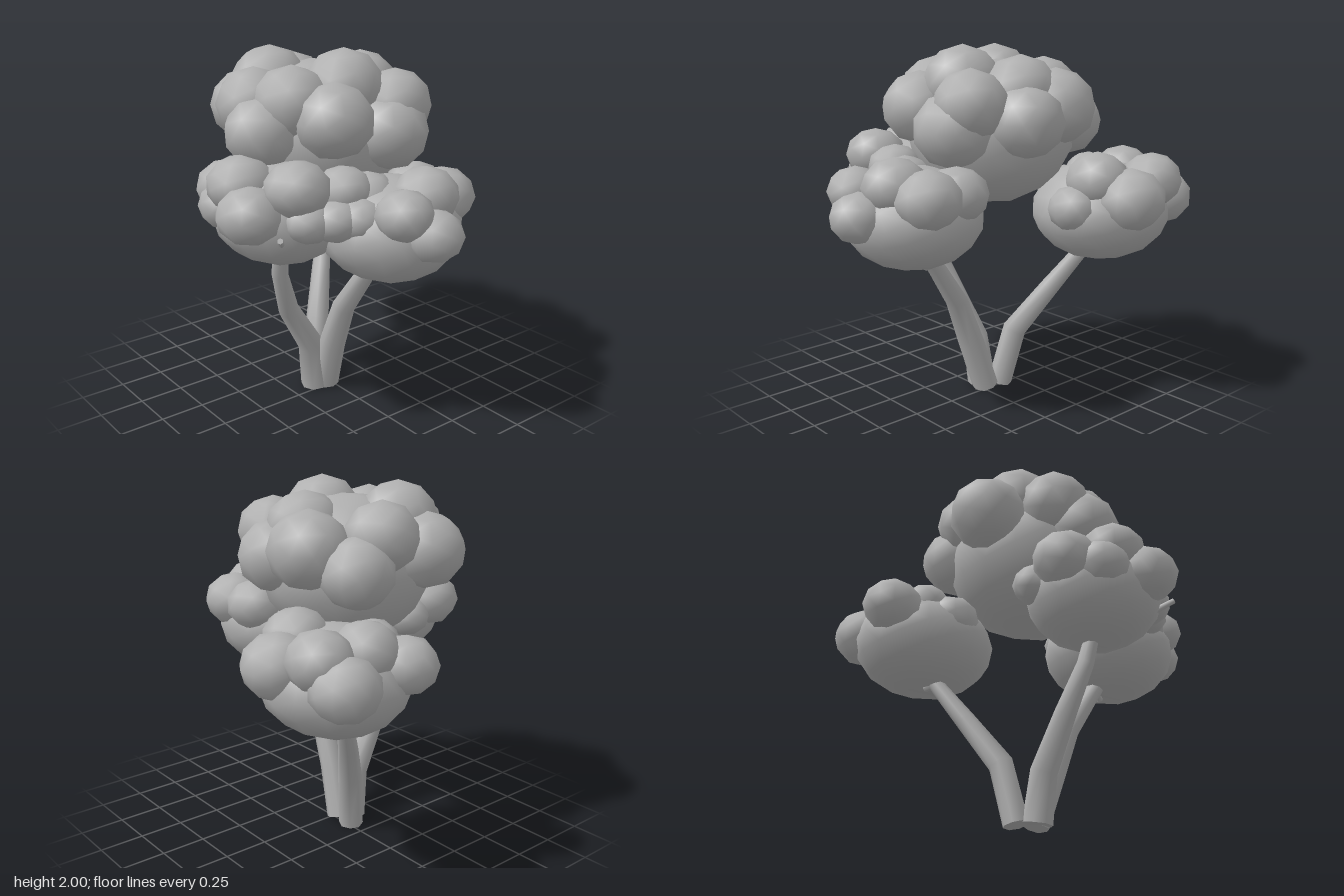
import * as THREE from 'three';

const grey = new THREE.MeshStandardMaterial({ color: 0xb0b0b0 });
grey.name = 'grey';

const puffGeo = new THREE.IcosahedronGeometry(1, 1);
const coreGeo = new THREE.IcosahedronGeometry(1, 2);

// Foliage clumps: a core ellipsoid [x, y, z, rx, ry, rz] and puffs [x, y, z, r]
const clumps = {
  crown: {
    core: [-0.07, 1.52, 0.03, 0.46, 0.4, 0.47], squash: 0.95,
    puffs: [
      [0.13, 1.79, 0.03, 0.22], [-0.05, 1.75, -0.23, 0.21], [-0.21, 1.67, -0.33, 0.22],
      [0.03, 1.61, -0.36, 0.205], [-0.42, 1.73, -0.03, 0.2], [-0.27, 1.78, 0.22, 0.22],
      [-0.46, 1.64, 0.24, 0.215], [0.07, 1.73, 0.32, 0.21], [-0.14, 1.71, 0.41, 0.205],
      [0.01, 1.59, 0.46, 0.205], [0.32, 1.57, -0.12, 0.215], [0.28, 1.66, 0.21, 0.21],
      [-0.43, 1.57, -0.2, 0.2], [0.27, 1.7, -0.2, 0.2],
    ],
  },
  rearClump: {
    core: [-0.51, 1.085, -0.41, 0.395, 0.28, 0.38], squash: 0.9,
    puffs: [
      [-0.8, 1.15, -0.59, 0.18], [-0.43, 1.19, -0.69, 0.19], [-0.67, 1.26, -0.63, 0.17],
      [-0.71, 1.27, -0.39, 0.17], [-0.35, 1.28, -0.52, 0.175], [-0.8, 1.19, -0.21, 0.165],
      [-0.59, 1.25, -0.24, 0.145], [-0.46, 1.17, -0.17, 0.155], [-0.21, 1.14, -0.48, 0.14],
    ],
  },
  frontClump: {
    core: [0.1, 1.19, 0.42, 0.37, 0.275, 0.36], squash: 0.85,
    puffs: [
      [0.07, 1.36, 0.64, 0.18], [-0.17, 1.28, 0.56, 0.18], [-0.02, 1.24, 0.67, 0.15],
      [0.24, 1.25, 0.7, 0.175], [0.37, 1.38, 0.51, 0.17], [0.42, 1.22, 0.48, 0.13],
      [0.49, 1.22, 0.36, 0.13], [0.42, 1.34, 0.26, 0.15], [-0.22, 1.22, 0.35, 0.13],
    ],
  },
  sideClump: {
    core: [0.49, 1.115, 0.01, 0.375, 0.275, 0.375], squash: 0.87,
    puffs: [
      [0.66, 1.31, -0.07, 0.175], [0.59, 1.26, -0.25, 0.18], [0.75, 1.27, 0.15, 0.15],
      [0.82, 1.16, 0.02, 0.155], [0.4, 1.26, -0.24, 0.17], [0.45, 1.29, 0.13, 0.155],
      [0.55, 1.22, 0.26, 0.13],
    ],
  },
};

// Stems: points [x, y, z, radius] from the ground upwards
const stems = {
  rearStem: [[-0.14, 0.01, 0.02, 0.07], [-0.2, 0.34, -0.04, 0.068], [-0.345, 0.6, -0.18, 0.055],
    [-0.47, 0.83, -0.31, 0.042], [-0.53, 0.98, -0.38, 0.038]],
  frontStem: [[-0.055, 0.01, 0.09, 0.083], [-0.04, 0.28, 0.13, 0.075], [-0.015, 0.55, 0.3, 0.06],
    [0.05, 0.81, 0.4, 0.047], [0.09, 1, 0.42, 0.04]],
  sideStem: [[-0.03, 0.01, 0.03, 0.077], [0.06, 0.3, 0.05, 0.075], [0.165, 0.57, 0.05, 0.064],
    [0.35, 0.84, 0.03, 0.05], [0.45, 0.98, 0.02, 0.045]],
};

// Thin twig stubs poking out of the foliage
const twigs = [
  [[0.36, 1.11, 0.6, 0.018], [0.45, 1.17, 0.67, 0.015]],
  [[-0.47, 0.84, -0.31, 0.025], [-0.52, 0.81, -0.36, 0.018]],
  [[0.37, 0.88, 0.02, 0.025], [0.44, 0.83, -0.02, 0.018]],
];

function ball(geo, name, x, y, z, rx, ry, rz) {
  const m = new THREE.Mesh(geo, grey);
  m.name = name;
  m.position.set(x, y, z);
  m.scale.set(rx, ry, rz);
  return m;
}

// Tapered rod through a list of points, each ring square to the path
function rod(points, sides, name) {
  const last = points.length - 1;
  const geo = new THREE.CylinderGeometry(1, 1, 1, sides, last);
  const { position, normal } = geo.attributes;
  const at = points.map(([x, y, z]) => new THREE.Vector3(x, y, z));
  const up = new THREE.Vector3(0, 1, 0);
  const turns = at.map((_, i) => {
    const dir = at[Math.min(i + 1, last)].clone().sub(at[Math.max(i - 1, 0)]).normalize();
    return new THREE.Quaternion().setFromUnitVectors(up, dir);
  });
  const v = new THREE.Vector3();
  for (let i = 0; i < position.count; i++) {
    const k = Math.round((position.getY(i) + 0.5) * last);
    v.set(position.getX(i), 0, position.getZ(i)).multiplyScalar(points[k][3]);
    v.applyQuaternion(turns[k]).add(at[k]);
    position.setXYZ(i, v.x, Math.max(v.y, 0), v.z);
    v.fromBufferAttribute(normal, i).applyQuaternion(turns[k]);
    normal.setXYZ(i, v.x, v.y, v.z);
  }
  const m = new THREE.Mesh(geo, grey);
  m.name = name;
  return m;
}

export function createModel() {
  const tree = new THREE.Group();
  tree.name = 'tree';

  for (const [name, { core, squash, puffs }] of Object.entries(clumps)) {
    const g = new THREE.Group();
    g.name = name;
    g.add(ball(coreGeo, 'core', ...core));
    puffs.forEach(([x, y, z, r], i) => {
      const puff = ball(puffGeo, 'puff', x, y, z, r, r * squash, r);
      puff.rotation.y = i * 1.3;
      g.add(puff);
    });
    tree.add(g);
  }

  for (const [name, points] of Object.entries(stems)) tree.add(rod(points, 8, name));
  for (const points of twigs) tree.add(rod(points, 6, 'twig'));
  return tree;
}
